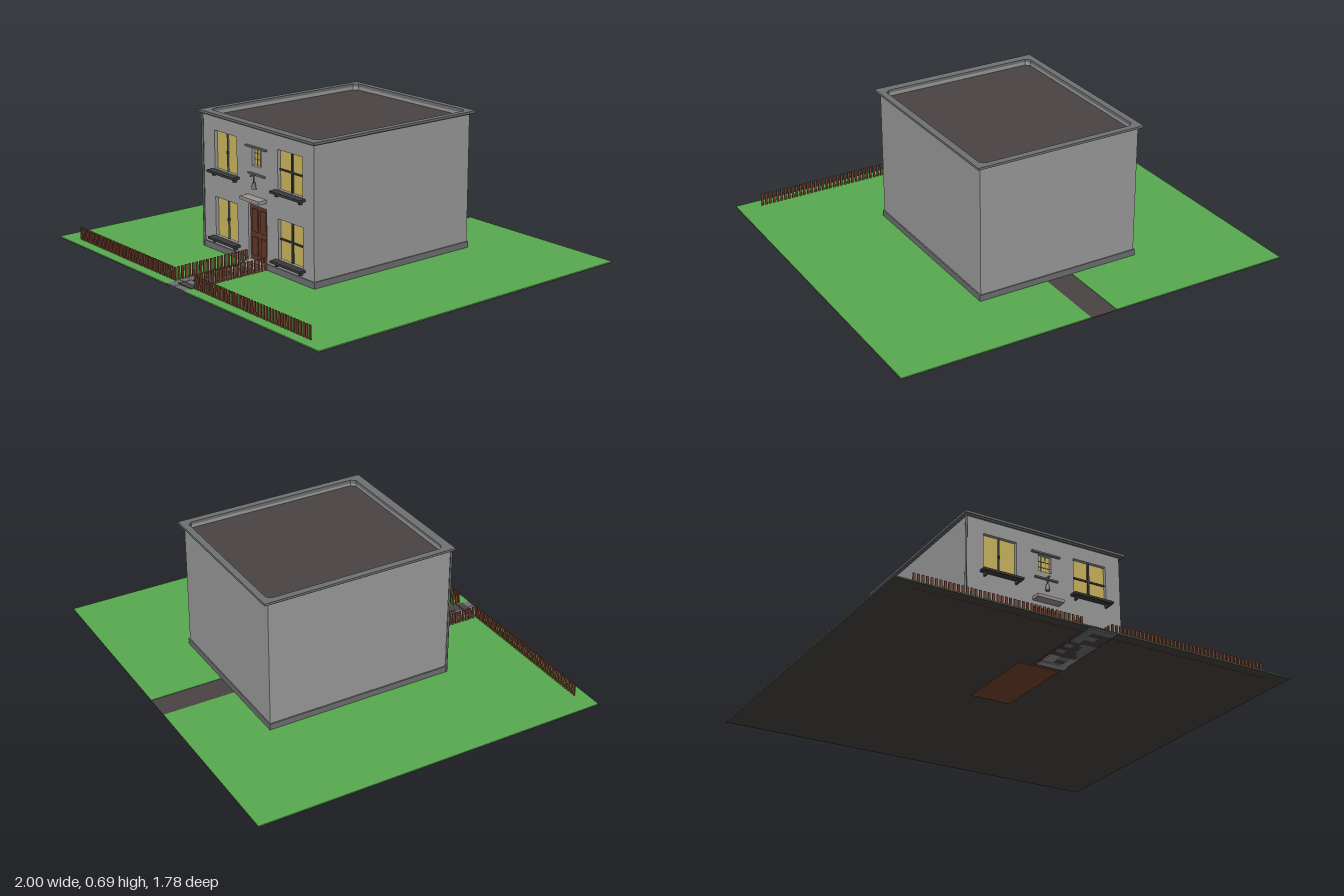
import * as THREE from 'three';

const mat = (name, color) => {
  const m = new THREE.MeshStandardMaterial({ color });
  m.name = name;
  return m;
};

export function createModel() {
  const M = {
    wall: mat('wall grey', 0x9c9c9c),
    trim: mat('trim grey', 0x6e7072),
    dark: mat('dark asphalt', 0x494443),
    grass: mat('grass green', 0x58a94f),
    glass: mat('lit window yellow', 0xcdb75e),
    door: mat('door brown', 0x63372a),
    fence: mat('fence brown', 0x7a4630),
    iron: mat('iron', 0x3a3a3c),
    pale: mat('pale stone', 0x9a9694),
  };
  const model = new THREE.Group();
  model.name = 'house';

  const add = (name, geometry, material, parent = model) => {
    const mesh = new THREE.Mesh(geometry, material);
    mesh.name = name;
    parent.add(mesh);
    return mesh;
  };
  // box from its minimum and maximum corners
  const box = (name, material, x0, x1, y0, y1, z0, z1, parent) => {
    const g = new THREE.BoxGeometry(x1 - x0, y1 - y0, z1 - z0);
    g.translate((x0 + x1) / 2, (y0 + y1) / 2, (z0 + z1) / 2);
    return add(name, g, material, parent);
  };
  const group = (name) => {
    const g = new THREE.Group();
    g.name = name;
    model.add(g);
    return g;
  };
  const rect = (T, x0, x1, y0, y1, c = 0) => new T([
    [x0 + c, y0], [x1 - c, y0], [x1, y0 + c], [x1, y1 - c],
    [x1 - c, y1], [x0 + c, y1], [x0, y1 - c], [x0, y0 + c],
  ].filter((p, i) => c > 0 || i % 2 === 0).map(([x, y]) => new THREE.Vector2(x, y)));
  // horizontal frame with a clipped-corner opening
  const ring = (name, material, o, i, y0, y1, c) => {
    const s = rect(THREE.Shape, o[0], o[1], -o[3], -o[2]);
    s.holes.push(rect(THREE.Path, i[0], i[1], -i[3], -i[2], c));
    const g = new THREE.ExtrudeGeometry(s, { depth: y1 - y0, bevelEnabled: false });
    g.rotateX(-Math.PI / 2).translate(0, y0, 0);
    return add(name, g, material);
  };

  // Ground: dark base, lawns either side of the path strip
  box('groundBase', M.dark, -1, 1, 0.006, 0.01, -0.89, 0.89);
  box('lawnRight', M.grass, -1, -0.075, 0.01, 0.013, -0.89, 0.89);
  box('lawnLeft', M.grass, 0.06, 1, 0.01, 0.013, -0.89, 0.89);
  box('hallFloor', M.fence, -0.15, 0.055, 0.002, 0.006, 0, 0.43);

  // Walls: solid body and a front wall with openings
  const X0 = -0.418, X1 = 0.407, ZB = -0.52, ZF = 0.426, ZI = 0.405;
  box('wallBody', M.wall, X0, X1, 0.01, 0.652, ZB, ZI);
  const windows = [];
  for (const [x0, x1, leaded] of [[-0.33, -0.157, false], [0.15, 0.328, true]])
    for (const [y0, y1] of [[0.085, 0.278], [0.415, 0.602]]) windows.push({ x0, x1, y0, y1, leaded });
  const small = { x0: -0.04, x1: 0.028, y0: 0.49, y1: 0.576 };
  const doorway = { x0: -0.073, x1: 0.065, y0: 0.013, y1: 0.302 };
  const front = rect(THREE.Shape, X0, X1, 0.01, 0.672);
  for (const o of [...windows, small, doorway])
    front.holes.push(rect(THREE.Path, o.x0, o.x1, o.y0, o.y1));
  const frontGeo = new THREE.ExtrudeGeometry(front, { depth: ZF - ZI, bevelEnabled: false });
  add('frontWall', frontGeo.translate(0, 0, ZI), M.wall);

  // Plinth, left open at the doorway
  box('plinthBack', M.trim, X0 - 0.006, X1 + 0.006, 0.012, 0.043, ZB - 0.005, ZB);
  box('plinthRight', M.trim, X0 - 0.006, X0, 0.012, 0.043, ZB, ZF + 0.005);
  box('plinthLeft', M.trim, X1, X1 + 0.006, 0.012, 0.043, ZB, ZF + 0.005);
  box('plinthFrontRight', M.trim, X0, doorway.x0, 0.012, 0.043, ZF, ZF + 0.005);
  box('plinthFrontLeft', M.trim, doorway.x1, X1, 0.012, 0.043, ZF, ZF + 0.005);

  // Flat roof with parapet and coping
  const inner = [-0.4, 0.395, -0.51, 0.4];
  box('roofDeck', M.dark, X0 + 0.005, X1 - 0.005, 0.652, 0.656, ZB + 0.005, ZI);
  ring('parapet', M.wall, [X0, X1, ZB, ZI], inner, 0.652, 0.673, 0.02);
  ring('copingLower', M.trim, [-0.425, 0.418, -0.532, 0.437], inner, 0.67, 0.678, 0.02);
  ring('coping', M.trim, [-0.433, 0.428, -0.543, 0.444], inner, 0.676, 0.687, 0.02);

  // Downpipe at the front right corner
  const pipe = new THREE.CylinderGeometry(0.005, 0.005, 0.658, 8);
  add('downpipe', pipe.translate(X0 - 0.004, 0.342, ZF + 0.004), M.trim);

  // Main windows: panes, glazing bars, sills on brackets
  for (const w of windows) {
    const g = group('window');
    const cx = (w.x0 + w.x1) / 2, cy = (w.y0 + w.y1) / 2, t = w.leaded ? 0.005 : 0.003;
    box('pane', M.glass, w.x0, w.x1, w.y0, w.y1, ZI, ZI + 0.004, g);
    box('uprightBar', w.leaded ? M.iron : M.trim, cx - t, cx + t, w.y0, w.y1, ZI, ZI + 0.011, g);
    if (w.leaded) box('crossBar', M.iron, w.x0, w.x1, cy - 0.004, cy + 0.004, ZI, ZI + 0.01, g);
    else box('latch', M.iron, cx - 0.005, cx + 0.005, cy - 0.007, cy + 0.007, ZI, ZI + 0.013, g);
    box('sill', M.iron, w.x0 - 0.018, w.x1 + 0.018, w.y0 - 0.013, w.y0 - 0.002, ZF - 0.01, 0.463, g);
    for (const x of [w.x0 + 0.005, w.x1 - 0.005])
      box('sillBracket', M.iron, x - 0.004, x + 0.004, w.y0 - 0.03, w.y0 - 0.012, ZF, 0.446, g);
  }

  // Small middle window with lintel
  const sw = group('smallWindow');
  box('pane', M.glass, small.x0, small.x1, small.y0, small.y1, ZI, ZI + 0.004, sw);
  for (const k of [1, 2]) {
    const y = small.y0 + k * 0.0287, x = small.x0 + k * 0.0227;
    box('crossBar', M.trim, small.x0, small.x1, y - 0.001, y + 0.001, ZI, ZI + 0.007, sw);
    box('uprightBar', M.trim, x - 0.001, x + 0.001, small.y0, small.y1, ZI, ZI + 0.007, sw);
  }
  box('lintel', M.trim, -0.08, 0.072, 0.576, 0.584, ZF - 0.005, 0.438, sw);

  // Lamp hanging from a bracket bar
  const lamp = group('lamp');
  box('lampBar', M.trim, -0.063, 0.06, 0.449, 0.457, ZF - 0.004, 0.437, lamp);
  box('lampArm', M.trim, -0.008, 0, 0.45, 0.456, ZF, 0.465, lamp);
  box('lampRod', M.trim, -0.007, -0.001, 0.415, 0.452, 0.442, 0.448, lamp);
  const shade = new THREE.CylinderGeometry(0.008, 0.012, 0.03, 8);
  add('lampShade', shade.translate(-0.004, 0.403, 0.445), M.trim, lamp);

  // Door with raised panels, canopy and steps
  const door = group('door');
  box('doorLeaf', M.door, doorway.x0, doorway.x1, 0.013, doorway.y1, ZI, ZI + 0.008, door);
  for (const x of [-0.057, 0.007])
    for (const [y0, y1] of [[0.055, 0.145], [0.17, 0.28]])
      box('doorPanel', M.door, x, x + 0.042, y0, y1, ZI, ZI + 0.012, door);
  const knob = new THREE.SphereGeometry(0.004, 8, 6);
  add('doorKnob', knob.translate(0.056, 0.157, ZI + 0.012), M.iron, door);
  box('canopy', M.pale, -0.075, 0.066, 0.331, 0.347, ZF - 0.005, 0.474);
  box('upperStep', M.pale, -0.073, 0.065, 0.01, 0.033, ZI, 0.452);
  box('lowerStep', M.pale, -0.075, 0.066, 0.003, 0.02, 0.45, 0.49);

  // Path of irregular paving stones
  let seed = 7;
  const rnd = () => (seed = (seed * 16807) % 2147483647) / 2147483647;
  const path = group('pavingStones');
  const tones = [M.trim, M.trim, M.dark, M.trim, M.pale, M.dark];
  for (let z = 0.49; z < 0.87;) {
    const z1 = Math.min(0.888, z + 0.022 + rnd() * 0.02);
    const a = -0.045 + rnd() * 0.03, b = a + 0.03 + rnd() * 0.03;
    for (const [x0, x1] of [[-0.075, a], [a, b], [b, 0.06]])
      box('stone', tones[Math.floor(rnd() * 6)], x0, x1, 0.001, 0.012 + rnd() * 0.005, z, z1, path);
    z = z1;
  }

  // Picket fences: along the front and beside the path
  const fence = group('fence');
  const pickets = (n, x0, z0, x1, z1) => {
    const alongX = z0 === z1;
    for (let i = 0; i < n; i++) {
      const t = i / (n - 1), x = x0 + (x1 - x0) * t, z = z0 + (z1 - z0) * t;
      const hx = alongX ? 0.0055 : 0.003, hz = alongX ? 0.003 : 0.0055;
      box('picket', M.fence, x - hx, x + hx, 0.004, 0.076, z - hz, z + hz, fence);
    }
  };
  pickets(40, -0.885, 0.835, -0.084, 0.835);
  pickets(40, 0.075, 0.835, 0.88, 0.835);
  pickets(20, -0.084, 0.435, -0.084, 0.815);
  pickets(20, 0.066, 0.435, 0.066, 0.815);

  return model;
}
